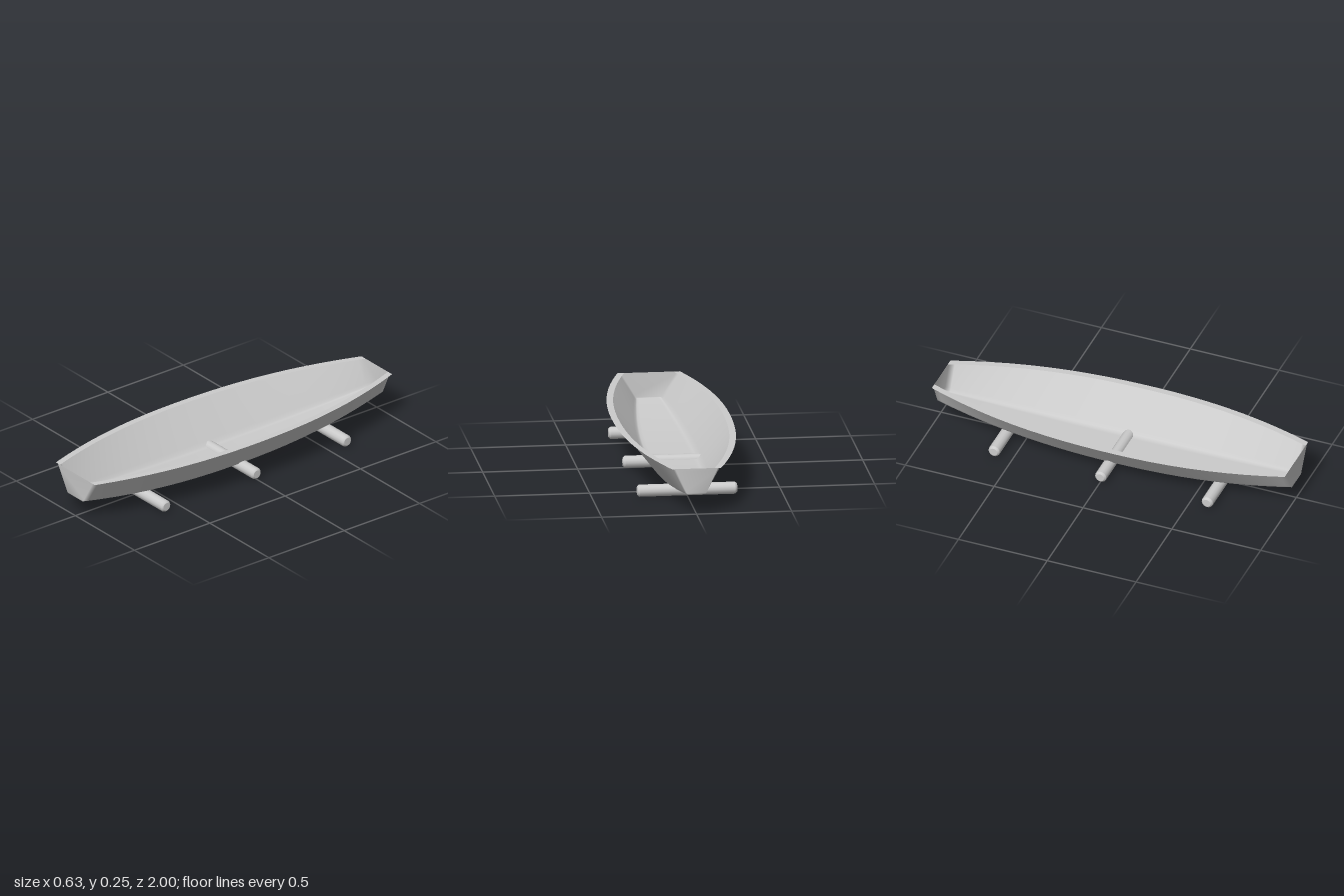
import * as THREE from 'three';

const TOP = 0.247;      // height of the gunwale
const RIM = 0.035;      // width of the flat rim strip

// Half width to the rim's outer edge and height of the keel along z
const halfWidth = z => 0.312 - 0.165 * Math.abs(z) ** 2.2 + 0.0175 * z;
const keelY = z => 0.042 + 0.067 * Math.abs(z) ** 2.2;

// Stations along the boat, with close pairs at the transoms
const stations = [-1, -0.97];
for (let i = -9; i <= 9; i++) stations.push(i / 10);
stations.push(0.97, 1);

// Cross-section from the +x gunwale over the bottom to the -x gunwale
function section(z) {
  const w = halfWidth(z) - RIM / 2, b = w * 0.44, y = keelY(z);
  const side = t => [b + (w - b) * t, y + (TOP - y) * t];
  const half = [side(1), side(0.9), side(0.12), side(0.03), [b * 0.95, y], [b * 0.8, y]];
  return [...half, ...half.map(([px, py]) => [-px, py]).reverse()];
}

function surface(positions, index) {
  const g = new THREE.BufferGeometry();
  g.setAttribute('position', new THREE.Float32BufferAttribute(positions, 3));
  g.setIndex(index);
  g.computeVertexNormals();
  return g;
}

function hullGeometry() {
  const pos = [], idx = [];
  const n = section(0).length, last = stations.length - 1;
  for (const z of stations) for (const [x, y] of section(z)) pos.push(x, y, z);
  for (let j = 0; j < last; j++) {
    for (let i = 0; i < n - 1; i++) {
      const a = j * n + i, b = a + n;
      idx.push(a, b, a + 1, b, b + 1, a + 1);
    }
  }
  // Transoms close both ends, sharing the hull's corners
  for (const j of [0, last]) {
    for (let i = 0; i < n / 2 - 1; i++) {
      const r = j * n + i, l = j * n + n - 1 - i;
      if (j) idx.push(r, l, r + 1, l, l - 1, r + 1);
      else idx.push(r, r + 1, l, l, r + 1, l - 1);
    }
  }
  return surface(pos, idx);
}

// Flat strip centred on one gunwale edge
function rimGeometry(s) {
  const pos = [], idx = [];
  stations.forEach((z, j) => {
    const w = halfWidth(z);
    pos.push(s * w, TOP, z, s * (w - RIM), TOP, z);
    if (j === 0) return;
    const a = 2 * j - 2;
    if (s > 0) idx.push(a, a + 1, a + 2, a + 2, a + 1, a + 3);
    else idx.push(a, a + 2, a + 1, a + 2, a + 3, a + 1);
  });
  return surface(pos, idx);
}

// Round bar with bevelled ends, lying along x
function rollerGeometry() {
  const r = 0.032, h = 0.263;
  const half = [[0, h], [r - 0.011, h], [r - 0.009, h - 0.0005], [r - 0.001, h - 0.009], [r, h - 0.013]];
  const profile = [...half.map(([x, y]) => [x, -y]), ...half.reverse()];
  return new THREE.LatheGeometry(profile.map(p => new THREE.Vector2(...p)), 14).rotateZ(Math.PI / 2);
}

export function createModel() {
  const model = new THREE.Group();
  model.name = 'boatOnRollers';
  const grey = new THREE.MeshStandardMaterial({ color: 0xcccccc });
  const sheet = new THREE.MeshStandardMaterial({ color: 0xcccccc, side: THREE.DoubleSide });
  const add = (name, geometry, material) => {
    const mesh = new THREE.Mesh(geometry, material);
    mesh.name = name;
    model.add(mesh);
    return mesh;
  };

  add('hull', hullGeometry(), sheet);
  add('leftRim', rimGeometry(1), sheet);
  add('rightRim', rimGeometry(-1), sheet);

  // Three rollers under the hull
  const roller = rollerGeometry();
  [['frontRoller', 0.6], ['middleRoller', 0], ['backRoller', -0.6]].forEach(([name, z]) => {
    add(name, roller, grey).position.set(0, 0.032, z);
  });
  return model;
}
